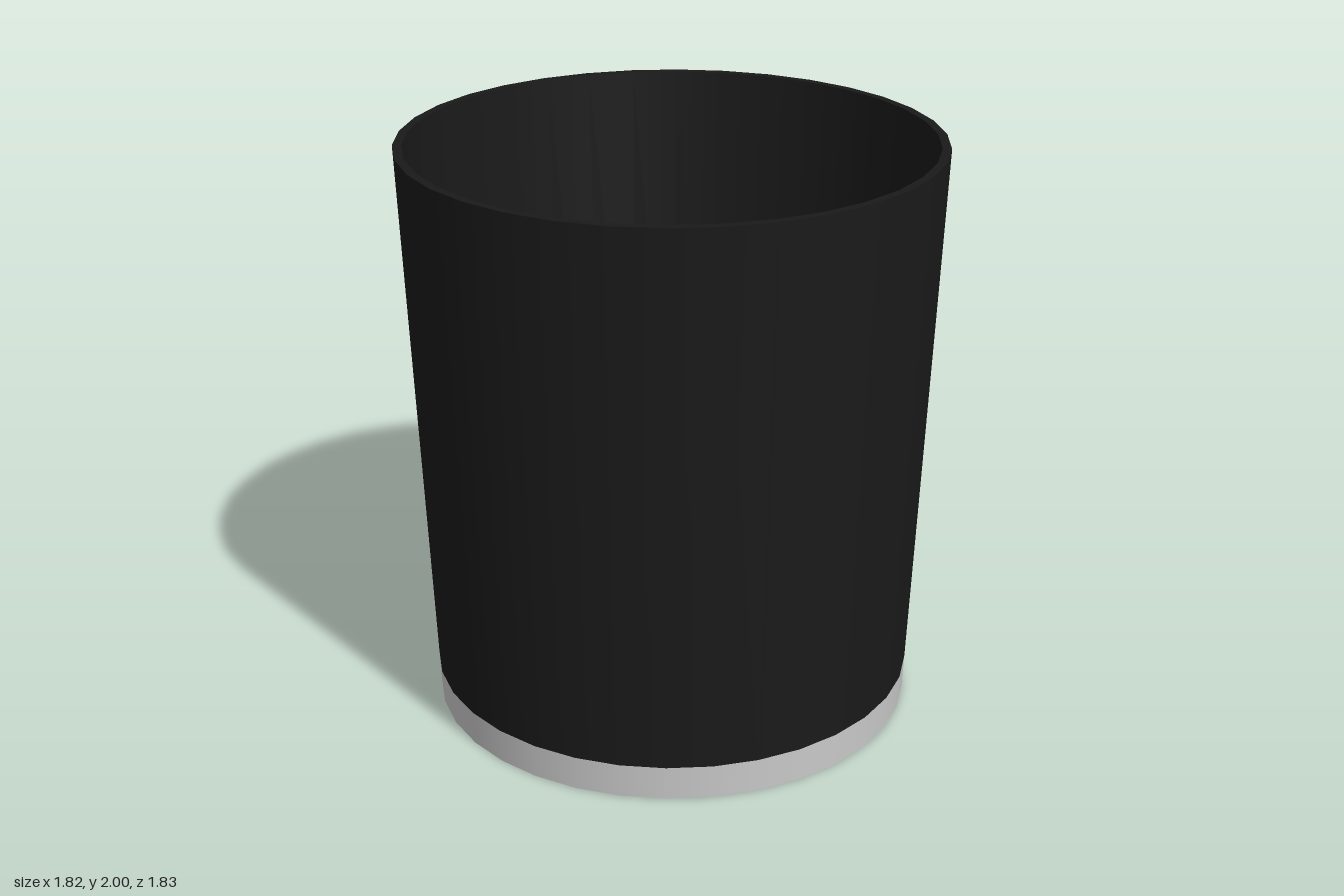
import * as THREE from 'three';

const SIDES = 34;

// Surface of revolution between two profile points [radius, y]; sharp against its neighbours
function ring(name, from, to, material) {
  const points = [from, to].map(([r, y]) => new THREE.Vector2(r, y));
  const mesh = new THREE.Mesh(new THREE.LatheGeometry(points, SIDES), material);
  mesh.name = name;
  return mesh;
}

export function createModel() {
  const dark = new THREE.MeshStandardMaterial({ color: 0x1a1a1a });
  const grey = new THREE.MeshStandardMaterial({ color: 0xcccccc });

  // Profile corners of the tapered cup
  const bottomEdge = [0.833, 0];
  const bandTop = [0.838, 0.12];
  const rimOuter = [0.913, 2];
  const rimInner = [0.883, 2];
  const floorEdge = [0.805, 0.12];

  const cup = new THREE.Group();
  cup.name = 'cup';
  cup.add(
    ring('underside', [0, 0], bottomEdge, dark),
    ring('baseBand', bottomEdge, bandTop, grey),
    ring('outerWall', bandTop, rimOuter, dark),
    ring('rim', rimOuter, rimInner, dark),
    ring('innerWall', rimInner, floorEdge, dark),
    ring('innerFloor', floorEdge, [0, floorEdge[1]], dark),
  );
  return cup;
}
